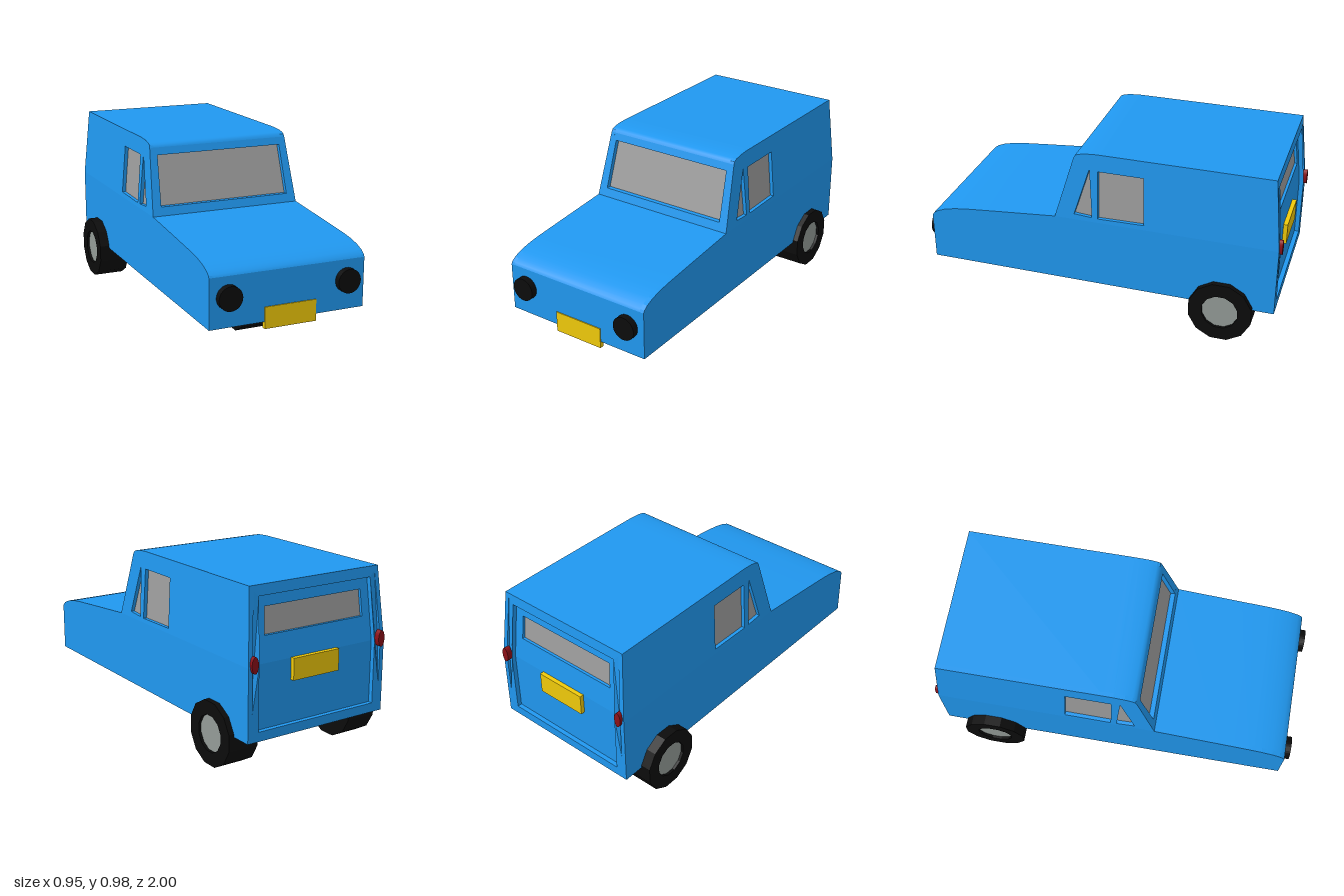
import * as THREE from 'three';

const paint = (color, flat = false) =>
  new THREE.MeshStandardMaterial({ color, side: THREE.DoubleSide, flatShading: flat });
const BLUE = paint(0x2098f0), GLASS = paint(0x9e9e9e), BLACK = paint(0x0c0c0c, true);
const HUB = paint(0x939b97, true), YELLOW = paint(0xf0ca0a), RED = paint(0x8c1018);

const FOLD = 0.585, FLOOR = 0.2, ROOF = 0.975;

// Body half width, windscreen plane and tail plane as functions of height
const halfWidth = y => 0.432 - 0.028 * Math.max(0, (y - FOLD) / (ROOF - FOLD));
const screenZ = y => 0.23 - (y - FOLD) * 0.296;
const tailZ = y => -0.985 + 0.04 * Math.max(0, (y - FOLD) / (ROOF - FOLD));

// Profiles as [z, y]
const bonnet = [[0.965, 0.465], [0.958, 0.478], [0.935, 0.495], [0.89, 0.513], [0.83, 0.527],
  [0.76, 0.537], [0.6, 0.552], [0.23, FOLD]];
const roof = [[0.125, 0.94], [0.118, 0.954], [0.1, 0.963], [0.06, 0.971], [0, ROOF], [-0.05, ROOF], [-0.945, ROOF]];

const sideMap = inset => (u, v, w) => [halfWidth(v) - inset - w, v, u];
const screenMap = inset => (u, v, w) => [u, v, screenZ(v) - inset - w];
const tailMap = inset => (u, v, w) => [u, v, tailZ(v) + inset + w];

function add(parent, name, geometry, material) {
  const mesh = new THREE.Mesh(geometry, material);
  mesh.name = name;
  parent.add(mesh);
  return mesh;
}

// Plate with openings, bent onto a body surface by the map
function plate(points, holes, depth, map) {
  const toV = list => list.map(p => new THREE.Vector2(...p));
  const shape = new THREE.Shape(toV(points));
  shape.holes = holes.map(h => new THREE.Path(toV(h)));
  const g = new THREE.ExtrudeGeometry(shape, { depth, bevelEnabled: false });
  const p = g.attributes.position;
  for (let i = 0; i < p.count; i++) p.setXYZ(i, ...map(p.getX(i), p.getY(i), p.getZ(i)));
  g.computeVertexNormals();
  return g;
}

// Skin running across the body along a profile
function skin(profile) {
  const pos = [], index = [];
  profile.forEach(([z, y], i) => {
    pos.push(-halfWidth(y), y, z, halfWidth(y), y, z);
    const a = 2 * i;
    if (i) index.push(a - 2, a - 1, a + 1, a - 2, a + 1, a);
  });
  const g = new THREE.BufferGeometry();
  g.setAttribute('position', new THREE.Float32BufferAttribute(pos, 3));
  g.setIndex(index);
  g.computeVertexNormals();
  return g;
}

// Symmetric outline from [half width, y] pairs listed bottom to top
const mirrored = half => [...half, ...half.map(([x, y]) => [-x, y]).reverse()];

function side(sign) {
  const g = new THREE.Group();
  g.name = sign > 0 ? 'leftSide' : 'rightSide';
  const quarter = [[0.12, 0.617], [0.02, 0.61], [0.037, 0.888]];
  const window_ = [[-0.013, 0.608], [-0.268, 0.612], [-0.258, 0.88], [-0.01, 0.88]];
  add(g, 'lowerSidePanel', plate([[0.965, FLOOR], ...bonnet, [-0.985, FOLD], [-0.985, FLOOR]],
    [], 0.025, sideMap(0)), BLUE);
  add(g, 'upperSidePanel', plate([[0.23, FOLD], ...roof, [-0.985, FOLD]],
    [quarter, window_], 0.025, sideMap(0)), BLUE);
  add(g, 'quarterGlass', plate(quarter, [], 0.004, sideMap(0.02)), GLASS);
  add(g, 'doorGlass', plate(window_, [], 0.004, sideMap(0.02)), GLASS);
  g.scale.x = sign;
  return g;
}

function wheel(name, x, z, width) {
  const g = new THREE.Group(), h = width / 2, r = 0.176, phi = Math.PI / 12;
  g.name = name;
  const section = [[0.1, h - 0.02], [0.1, h], [r, h], [r, -h], [0.1, -h], [0.1, 0.02 - h]]
    .map(p => new THREE.Vector2(...p));
  add(g, 'tyre', new THREE.LatheGeometry(section, 12, phi), BLACK);
  add(g, 'hub', new THREE.CylinderGeometry(0.102, 0.102, width - 0.03, 12, 1, false, phi), HUB);
  g.rotation.z = Math.PI / 2;
  g.position.set(x, 0.17, z);
  return g;
}

function disc(parent, name, material, x, y, z, rx, ry, depth) {
  const mesh = add(parent, name, new THREE.CylinderGeometry(1, 1, 1, 32).rotateX(Math.PI / 2), material);
  mesh.scale.set(rx, ry, depth);
  mesh.position.set(x, y, z);
}

export function createModel() {
  const model = new THREE.Group();
  model.name = 'threeWheeledVan';
  const body = new THREE.Group();
  body.name = 'body';
  body.position.x = 0.013;
  model.add(body);

  // Shell
  body.add(side(1), side(-1));
  add(body, 'nosePanel', skin([[0.965, FLOOR], bonnet[0]]), BLUE);
  add(body, 'bonnet', skin(bonnet), BLUE);
  add(body, 'roof', skin(roof), BLUE);
  add(body, 'floor', skin([[-0.985, FLOOR], [0.965, FLOOR]]), BLUE);

  // Windscreen
  const opening = mirrored([[0.379, 0.632], [0.367, 0.9]]);
  add(body, 'windscreenFrame', plate(mirrored([[halfWidth(FOLD), FOLD], [halfWidth(0.94), 0.94]]),
    [opening], 0.03, screenMap(0)), BLUE);
  add(body, 'windscreen', plate(opening, [], 0.004, screenMap(0.027)), GLASS);

  // Tail frame with recessed door and window
  const doorLow = [[0.368, 0.25], [0.368, FOLD]], doorHigh = [[0.368, FOLD], [0.35, 0.92]];
  add(body, 'tailFrame', plate(
    mirrored([FLOOR, FOLD, ROOF].map(y => [halfWidth(y), y])),
    [mirrored([...doorLow, doorHigh[1]])], 0.03, tailMap(0)), BLUE);
  const rearWindow = mirrored([[0.31, 0.72], [0.303, 0.86]]);
  add(body, 'tailDoorLower', plate(mirrored(doorLow), [], 0.02, tailMap(0.025)), BLUE);
  add(body, 'tailDoorUpper', plate(mirrored(doorHigh), [rearWindow], 0.02, tailMap(0.025)), BLUE);
  add(body, 'rearGlass', plate(rearWindow, [], 0.004, tailMap(0.04)), GLASS);

  // Lamps
  for (const s of [1, -1]) {
    disc(body, 'headlamp', BLACK, s * 0.33, 0.358, 0.975, 0.064, 0.064, 0.05);
    disc(body, 'tailLamp', RED, s * 0.402, 0.598, -0.985, 0.02, 0.043, 0.03);
  }

  // Blank number plates
  for (const [name, y, z] of [['frontPlate', 0.221, 0.957], ['rearPlate', 0.53, -0.97]])
    add(body, name, new THREE.BoxGeometry(0.288, 0.115, 0.026), YELLOW).position.set(0.012, y, z);

  // One front wheel and two rear wheels
  model.add(wheel('frontWheel', 0.01, 0.505, 0.18));
  for (const s of [1, -1])
    model.add(wheel(s > 0 ? 'rearLeftWheel' : 'rearRightWheel', s * 0.3875, -0.7, 0.175));
  return model;
}
